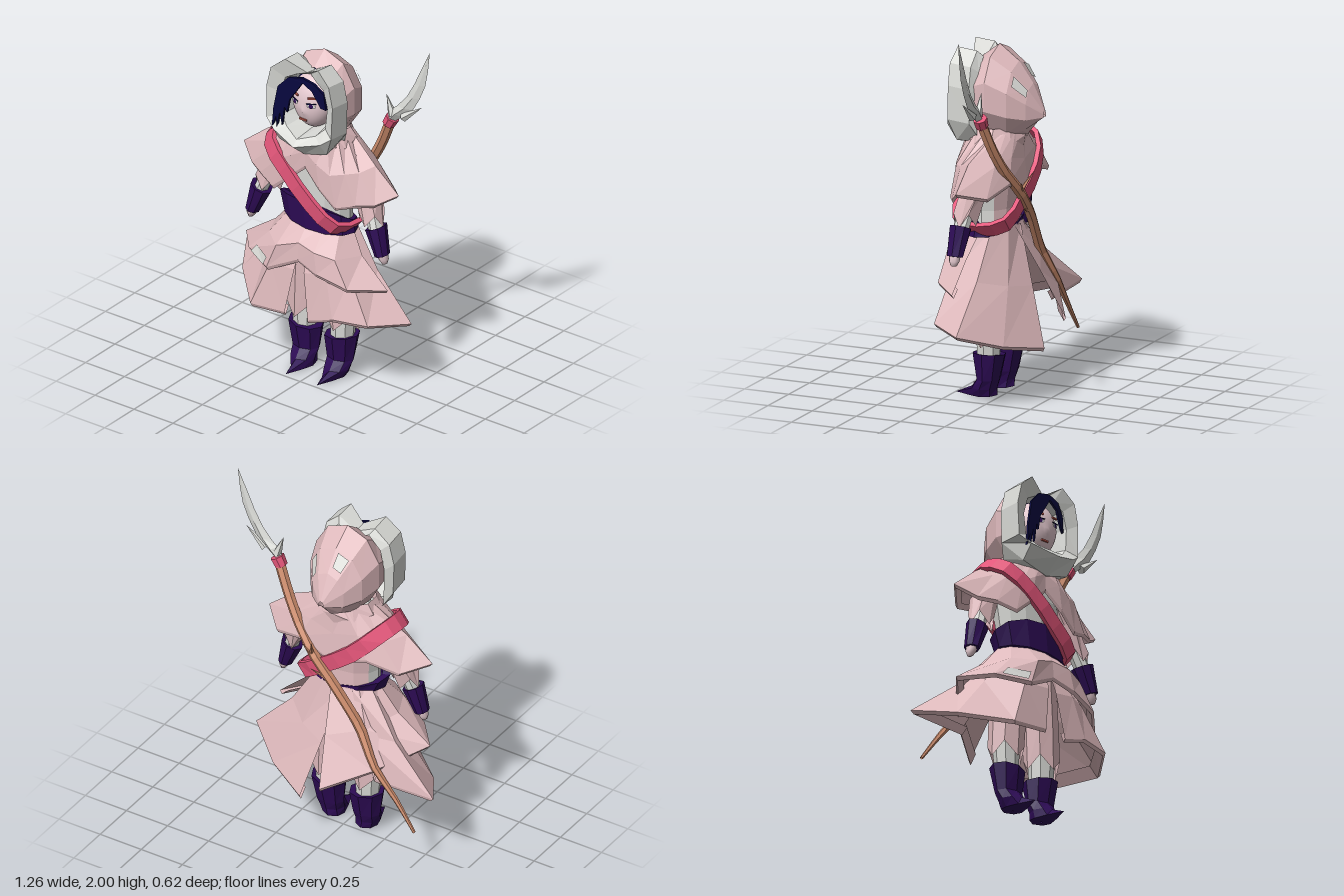
import * as THREE from 'three';

const colour = (name, hex, flatShading = true) => new THREE.MeshStandardMaterial({ name, color: hex, flatShading, side: THREE.DoubleSide });
const V = (x, y, z) => new THREE.Vector3(x, y, z);
const lerp = (a, b, k) => a + (b - a) * k;

// Skin between rows of points; each row may be a closed ring
function sheet(rows, closed) {
  const n = rows[0].length, index = [], pos = rows.flat(2);
  for (let i = 0; i < rows.length - 1; i++)
    for (let j = 0; j < (closed ? n : n - 1); j++) {
      const a = i * n + j, b = i * n + (j + 1) % n;
      index.push(a, a + n, b, b, a + n, b + n);
    }
  const g = new THREE.BufferGeometry();
  g.setAttribute('position', new THREE.Float32BufferAttribute(pos, 3));
  g.setIndex(index);
  g.computeVertexNormals();
  return g;
}

// Elliptic horizontal ring, starting at the front and turning to +x
function ring(cx, cy, cz, rx, rz, n = 8, yRule = () => 0) {
  return Array.from({ length: n }, (_, i) => {
    const a = i / n * Math.PI * 2, x = Math.sin(a), z = Math.cos(a);
    return [cx + rx * x, cy + yRule(x, z, i), cz + rz * z];
  });
}

// Cloth hanging from an elliptic top edge to a listed hem, with a folded rim
function drape(hem, top, k, closed) {
  const n = hem.length;
  const upper = hem.map((p, i) => {
    const a = lerp(top.a0, top.a1, i / (closed ? n : n - 1));
    return [top.rx * Math.sin(a), top.y, top.cz + top.rz * Math.cos(a)];
  });
  const mid = hem.map((p, i) => [lerp(upper[i][0], p[0], p[2] < -0.15 ? k[1] : k[0]), lerp(top.y, p[1], k[1]),
    lerp(upper[i][2], p[2], p[2] > 0.05 ? k[2] : 0.5)]);
  const rim = hem.map(p => [p[0] * 0.97, p[1] - 0.018, p[2] * 0.97]);
  const lining = hem.map((p, i) => mid[i].map((v, c) => lerp(p[c], v, 0.15) * (c === 1 ? 1 : 0.93)));
  return sheet([upper, mid, hem, rim, lining], closed);
}

// Thin patch lying on the face a-b-c-d, between u and v limits, lifted by push
function patch([a, b, c, d], [u0, u1], [v0, v1], push) {
  const at = (u, v) => a.clone().lerp(b, u).lerp(d.clone().lerp(c, u), v).add(push).toArray();
  return sheet([[at(u0, v0), at(u1, v0)], [at(u0, v1), at(u1, v1)]]);
}

export function createModel() {
  const pink = colour('dustyPink', 0xdfbabd), white = colour('offWhite', 0xd9dad6), skin = colour('skin', 0xecd0d6, false),
    navy = colour('navyHair', 0x08073f), purple = colour('deepPurple', 0x2d0b55), rose = colour('rose', 0xe4567a),
    wood = colour('wood', 0xcf8e6e), lip = colour('lipRed', 0xc05a4e);
  const model = new THREE.Group();
  const add = (name, geo, mat, x = 0, y = 0, z = 0) => {
    const m = new THREE.Mesh(geo, mat);
    m.name = name;
    m.position.set(x, y, z);
    model.add(m);
    return m;
  };
  const PI = Math.PI;

  // Legs, boots, arms and hands, mirrored
  for (const s of [1, -1]) {
    const side = s > 0 ? 'left' : 'right';
    const limb = (name, rings, mat) => add(side + name, sheet(rings, true), mat);
    limb('Boot', [ring(s * .115, .23, .045, .04, .04), ring(s * .115, .235, .045, .097, .088, 8, x => .012 * s * x),
      ring(s * .11, .1, .05, .08, .06), ring(s * .108, .05, .075, .07, .07),
      [[s * .1, .006, .24], [s * .1 + .035, .005, .15], [s * .1 + .055, .005, .08], [s * .1 + .045, .01, .03],
        [s * .1, .012, .005], [s * .1 - .045, .01, .03], [s * .1 - .055, .005, .08], [s * .1 - .035, .005, .15]],
      ring(s * .1, 0, .07, .005, .005)], purple);
    limb('Legging', [ring(s * .12, .2, .045, .062, .062), ring(s * .125, .42, .045, .075, .07)], white);
    limb('Trouser', [ring(s * .1, .8, .05, .09, .09), ring(s * .115, .52, .045, .098, .095),
      ring(s * .125, .31, .045, .098, .09, 8, (x, z, i) => (i % 2 ? .05 : -.025))], pink);
    limb('Sleeve', [ring(s * .18, 1.32, .04, .06, .07), ring(s * .28, 1.15, .05, .075, .075),
      ring(s * .33, .98, .08, .075, .06, 8, (x, z, i) => (i % 2 ? .05 : -.02))], pink);
    limb('Cuff', [ring(s * .31, 1.1, .06, .04, .045), ring(s * .37, .94, .09, .04, .045)], white);
    limb('Gauntlet', [ring(s * .365, .95, .09, .02, .02), ring(s * .367, .955, .09, .056, .058, 8, x => .025 * s * x),
      ring(s * .415, .81, .1, .036, .045, 8, x => .01 * s * x), ring(s * .415, .81, .1, .01, .01)], purple);
    limb('Hand', [ring(s * .412, .83, .1, .028, .035, 6), ring(s * .422, .79, .1, .027, .03, 6),
      ring(s * .428, .765, .1, .014, .018, 6), ring(s * .428, .762, .1, .001, .001, 6)], skin);
  }

  // Skirt: two long panels slit at the front, and an overskirt that wraps round the right side to a rear point
  const waist = (a0, a1) => ({ y: .9, rx: .19, rz: .125, cz: .06, a0, a1 });
  add('skirtLeft', drape([[.07, .39, .28], [.22, .44, .27], [.41, .44, .22], [.55, .42, .03], [.34, .34, -.14], [.1, .29, -.26]],
    waist(0, PI * 1.06), [.4, .5, .75]), pink);
  add('skirtRight', drape([[-.07, .4, .29], [-.29, .38, .29], [-.5, .43, .08], [-.63, .47, -.13], [-.28, .46, -.13]],
    waist(0, -PI * .85), [.4, .5, .75]), pink);
  const overGeo = drape([[-.49, .64, .06], [-.36, .65, .21], [-.18, .63, .3], [0, .72, .27], [.13, .68, .285], [.3, .63, .25], [.45, .61, .1]],
    waist(-PI * .5, PI * .5), [.36, .48, .92]);
  add('overskirt', overGeo, pink);
  add('overskirtBack', drape([[-.49, .64, .06], [-.28, .53, -.16], [-.05, .42, -.31]], waist(-PI * .5, -PI * 1.06), [.36, .48, .92]), pink);
  const overCorners = [15, 16, 9, 8].map(i => V(0, 0, 0).fromBufferAttribute(overGeo.attributes.position, i));
  add('skirtPatch', patch(overCorners, [.2, .9], [.02, .36], V(-.005, .004, .009)), white);

  // Torso, white in front and pink behind, and belt
  const torso = [ring(0, .84, .06, .18, .12, 12), ring(0, 1, .06, .175, .115, 12), ring(0, 1.2, .05, .2, .13, 12), ring(0, 1.38, .04, .13, .11, 12)];
  add('shirt', sheet(torso.map(r => [...r.slice(8), ...r.slice(0, 5)])), white);
  add('shirtBack', sheet(torso.map(r => r.slice(4, 9))), pink);
  const beltTop = (x, z) => (z > 0 ? .075 * z : .045 * z) - .02 * x;
  add('belt', sheet([ring(-.01, .95, .07, .18, .11, 12, beltTop), ring(-.01, .96, .08, .225, .14, 12, beltTop),
    ring(.01, .88, .08, .215, .135, 12, x => -.012 * x), ring(.01, .88, .07, .17, .1, 12)], true), purple);

  // Shoulder cape with a pointed opening on the chest
  const half = [[.1, 1.15, .225], [.2, 1.06, .215], [.3, 1.09, .18], [.39, 1.1, .13], [.49, 1.16, .06], [.37, 1.12, -.06], [.2, 1.17, -.11]];
  const capeHem = [[0, 1.24, .21], ...half, [0, 1.1, -.12], ...half.map(([x, y, z]) => [-x * 1.03, y, z]).reverse()];
  add('cape', drape(capeHem, { y: 1.41, rx: .145, rz: .14, cz: .055, a0: 0, a1: PI * 2 }, [.58, .5, .97], true), pink);
  add('neckScarf', sheet([ring(0, 1.32, .055, .18, .15, 10), ring(0, 1.36, .05, .19, .155, 10, (x, z, i) => (i % 2 ? .02 : -.01)),
    ring(0, 1.43, .05, .15, .13, 10)], true), pink);

  // Sash looped over the right shoulder
  const loop = new THREE.CatmullRomCurve3([V(-.285, 1.335, .06), V(-.245, 1.29, .18), V(-.12, 1.19, .222), V(.05, 1.035, .228), V(.18, .93, .195),
    V(.215, .91, .05), V(.19, .95, -.085), V(.05, 1.05, -.11), V(-.12, 1.18, -.115), V(-.25, 1.31, -.06)], true);
  const sashRows = [];
  for (let i = 0; i <= 20; i++) {
    const p = loop.getPoint(i / 20 % 1), t = loop.getTangent(i / 20 % 1);
    const out = p.clone().sub(V(-.03, 1.12, .05));
    out.addScaledVector(t, -out.dot(t)).normalize();
    const w = t.clone().cross(out);
    sashRows.push([[-1, -1], [1, -1], [1, 1], [-1, 1]].map(([a, b]) =>
      p.clone().addScaledVector(w, a * .043).addScaledVector(out, b * .012).toArray()));
  }
  add('sash', sheet(sashRows, true), rose);

  // Hood running back to a low point
  const hoodRows = [[.13, 1.78, 1.4, .185], [.04, 1.85, 1.36, .2], [-.07, 1.77, 1.36, .165], [-.15, 1.66, 1.39, .1], [-.215, 1.52, 1.47, .015]]
    .map(([z, top, low, rx]) => Array.from({ length: 10 }, (_, j) => {
      const a = j / 10 * PI * 2, c = Math.cos(a);
      return [rx * Math.sin(a), lerp(low, top, (c + 1) / 2), z + (c < -.5 ? .03 : 0)];
    }));
  add('hood', sheet(hoodRows, true), pink);
  const hoodFace = (a, b) => [[2, a], [2, b], [3, b], [3, a]].map(([i, j]) => V(...hoodRows[i][j]));
  add('hoodPatch', patch(hoodFace(9, 0), [.1, .8], [.1, .7], V(-.004, .007, -.006)), white);
  add('hoodPatch', patch(hoodFace(1, 2), [.1, .6], [.15, .95], V(.007, .005, -.005)), white);

  // Faceted trim around the face, from back edge to front and inwards
  const trimHalf = [ // outer x, y, front z, inner x, y
    [0, 1.775, .19, 0, 1.755], [.1, 1.835, .23, .06, 1.75], [.175, 1.765, .24, .12, 1.715], [.2, 1.65, .24, .145, 1.62],
    [.195, 1.47, .245, .135, 1.5], [.14, 1.43, .27, .09, 1.455], [0, 1.39, .31, 0, 1.425]];
  const trim = [...trimHalf, ...trimHalf.slice(1, 6).reverse().map(([x, y, z, ix, iy]) => [-x * 1.12, y, z, -ix * 1.05, iy])];
  add('hoodTrim', sheet([
    trim.map(([x, y]) => [x * .85, y < 1.5 ? y - .08 : y - .04, .09]),
    trim.map(([x, y]) => [x * 1.03, y < 1.45 ? y - .078 : y - .01, y < 1.45 ? .215 : .12]),
    trim.map(([x, y, z]) => [x, y, z]),
    trim.map(([, , z, x, y]) => [x, y, z - .03]),
    trim.map(([, , , x, y]) => [x * .8, lerp(1.59, y, .9), .1])], true), white);

  // Head with a tapered chin, flattened face and small nose
  const headGeo = new THREE.SphereGeometry(1, 40, 30), hp = headGeo.attributes.position;
  for (let i = 0; i < hp.count; i++) {
    const x = hp.getX(i), y = hp.getY(i), z = hp.getZ(i);
    const nose = z > 0 ? .07 * Math.exp(-((x / .1) ** 2) - ((y + .2) / .13) ** 2) : 0;
    hp.setXYZ(i, x * (1 - .16 * Math.max(0, -y)), y, Math.sign(z) * Math.abs(z) ** .75 + nose);
  }
  headGeo.scale(.125, .155, .13);
  headGeo.computeVertexNormals();
  add('head', headGeo, skin, 0, 1.595, .095);
  add('neck', new THREE.CylinderGeometry(.055, .07, .16, 10), skin, 0, 1.4, .06);
  for (const s of [1, -1]) {
    const plate = (name, geo, mat, y, z, sx, sy, tilt = 0) => {
      const m = add(name, geo, mat, s * .052, y, z);
      m.scale.set(sx, sy, 1);
      m.rotation.set(0, s * .35, tilt);
    };
    plate('eyeWhite', new THREE.CircleGeometry(1, 12), white, 1.608, .224, .025, .013);
    plate('lash', new THREE.BoxGeometry(.054, .005, .004), navy, 1.622, .225, 1, 1, s * .1);
    plate('iris', new THREE.CircleGeometry(1, 10), purple, 1.609, .227, .012, .013);
    plate('brow', new THREE.BoxGeometry(.045, .009, .008), lip, 1.652, .22, 1, 1, s * .15);
  }
  add('mouth', new THREE.BoxGeometry(.045, .009, .009), lip, -.008, 1.51, .213);

  // Swept fringe with long locks on the right
  const fringe = [[.13, 1.6], [.12, 1.69], [.07, 1.745], [0, 1.765], [-.08, 1.745], [-.14, 1.68], [-.165, 1.55], [-.175, 1.42], [-.15, 1.5],
    [-.145, 1.44], [-.128, 1.53], [-.115, 1.46], [-.1, 1.57], [-.085, 1.54], [-.07, 1.62], [-.03, 1.68], [.005, 1.735], [.06, 1.7], [.105, 1.61]];
  const hairGeo = new THREE.ExtrudeGeometry(new THREE.Shape(fringe.map(p => new THREE.Vector2(...p))), { depth: .014, bevelEnabled: false });
  const fp = hairGeo.attributes.position;
  for (let i = 0; i < fp.count; i++) {
    const x = fp.getX(i);
    fp.setZ(i, fp.getZ(i) + (x > 0 ? .224 - 2 * x * x : .224 - .13 * x));
  }
  add('fringe', hairGeo, navy);
  add('hairCap', new THREE.SphereGeometry(1, 14, 8, 0, PI * 2, 0, PI * .5).scale(.128, .12, .13), navy, 0, 1.64, .07);

  // Crooked spear shaft, tapering to the foot
  const path = new THREE.CatmullRomCurve3([V(-.53, .24, -.155), V(-.42, .39, -.148), V(-.28, .56, -.15), V(-.17, .74, -.11), V(-.02, .96, -.125),
    V(.1, 1.1, -.125), V(.22, 1.24, -.085), V(.3, 1.37, -.055), V(.37, 1.52, -.03)], false, 'catmullrom', .25);
  const shaft = new THREE.TubeGeometry(path, 24, .028, 6), sp = shaft.attributes.position;
  for (let i = 0; i < sp.count; i++) {
    const u = Math.floor(i / 7) / 24, c = path.getPointAt(u), k = Math.min(1, .3 + u * 1.8);
    sp.setXYZ(i, lerp(c.x, sp.getX(i), k), lerp(c.y, sp.getY(i), k), lerp(c.z, sp.getZ(i), k));
  }
  add('spearShaft', shaft, wood);
  const spike = (name, mat, r, h, p, d) =>
    add(name, new THREE.ConeGeometry(r, h, 5).translate(0, h / 2, 0), mat, ...p).quaternion.setFromUnitVectors(V(0, 1, 0), V(...d).normalize());
  spike('twig', wood, .014, .13, [.08, 1.07, -.13], [.6, .8, -.2]);
  spike('twig', wood, .014, .13, [.11, 1.11, -.13], [-.3, .9, -.5]);
  spike('twig', wood, .014, .12, [0, .98, -.13], [.9, .3, -.1]);
  add('spearBinding', new THREE.CylinderGeometry(.038, .034, .055, 7), rose, .372, 1.525, -.028).rotation.z = -.5;

  // Curved blade of diamond section with two barbs
  const blade = [[.355, 1.55, .4, 1.53, .02], [.385, 1.6, .455, 1.575, .024], [.42, 1.63, .52, 1.635, .016], [.48, 1.7, .565, 1.715, .011],
    [.53, 1.79, .6, 1.8, .008], [.575, 1.89, .617, 1.89, .005], [.627, 2, .629, 2, .001]];
  add('spearBlade', sheet(blade.map(([ax, ay, bx, by, t]) => {
    const mx = (ax + bx) / 2, my = (ay + by) / 2;
    return [[ax, ay, -.02], [mx, my, -.02 + t], [bx, by, -.02], [mx, my, -.02 - t]];
  }), true), white);
  spike('barb', white, .025, .12, [.39, 1.565, -.02], [-.35, 1, 0]);
  spike('barb', white, .025, .15, [.46, 1.575, -.02], [.115, .09, 0]);

  return model;
}
